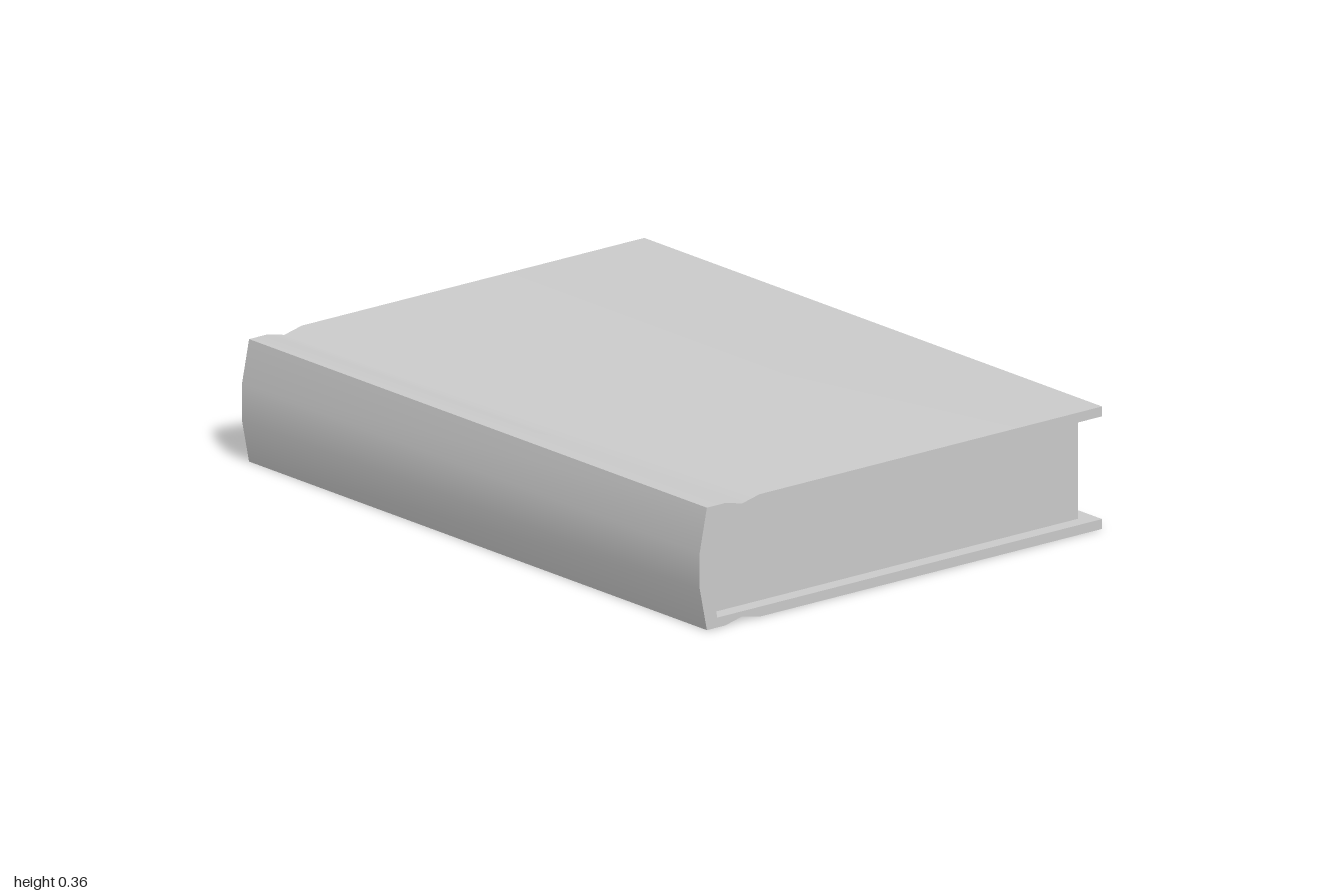
import * as THREE from 'three';
import { toCreasedNormals } from 'three/addons/utils/BufferGeometryUtils.js';

const H = 0.36; // overall thickness of the closed book
const material = new THREE.MeshStandardMaterial({ color: 0xcccccc });

// Adds the same points mirrored across mid-thickness, in reverse order
const mirrored = (pts) => [...pts, ...pts.map(([x, y]) => [x, H - y]).reverse()];

// Extrudes an x/y outline along z, centred on z = 0
function extrudeOutline(name, pts, depth) {
  const shape = new THREE.Shape(pts.map(([x, y]) => new THREE.Vector2(x, y)));
  const geometry = new THREE.ExtrudeGeometry(shape, { depth, bevelEnabled: false });
  geometry.translate(0, 0, -depth / 2);
  const mesh = new THREE.Mesh(toCreasedNormals(geometry, 0.5), material);
  mesh.name = name;
  return mesh;
}

export function createModel() {
  const book = new THREE.Group();
  book.name = 'book';

  // Lower half of the spine's inner curve, shared by cover and pages
  const innerSpine = [[-0.669, 0.029], [-0.69, 0.127]];

  // Cover: boards with hinge grooves joined by a rounded spine
  const outer = mirrored([
    [0.733, 0], [-0.515, 0], [-0.578, 0.014], [-0.64, 0],
    [-0.707, 0], [-0.733, 0.127],
  ]);
  const inner = mirrored([[0.733, 0.029], ...innerSpine]).reverse();
  book.add(extrudeOutline('cover', [...outer, ...inner], 2));

  // Page block, inset from the cover on its three open sides
  book.add(extrudeOutline('pages', mirrored([[0.682, 0.029], ...innerSpine]), 1.91));

  return book;
}
